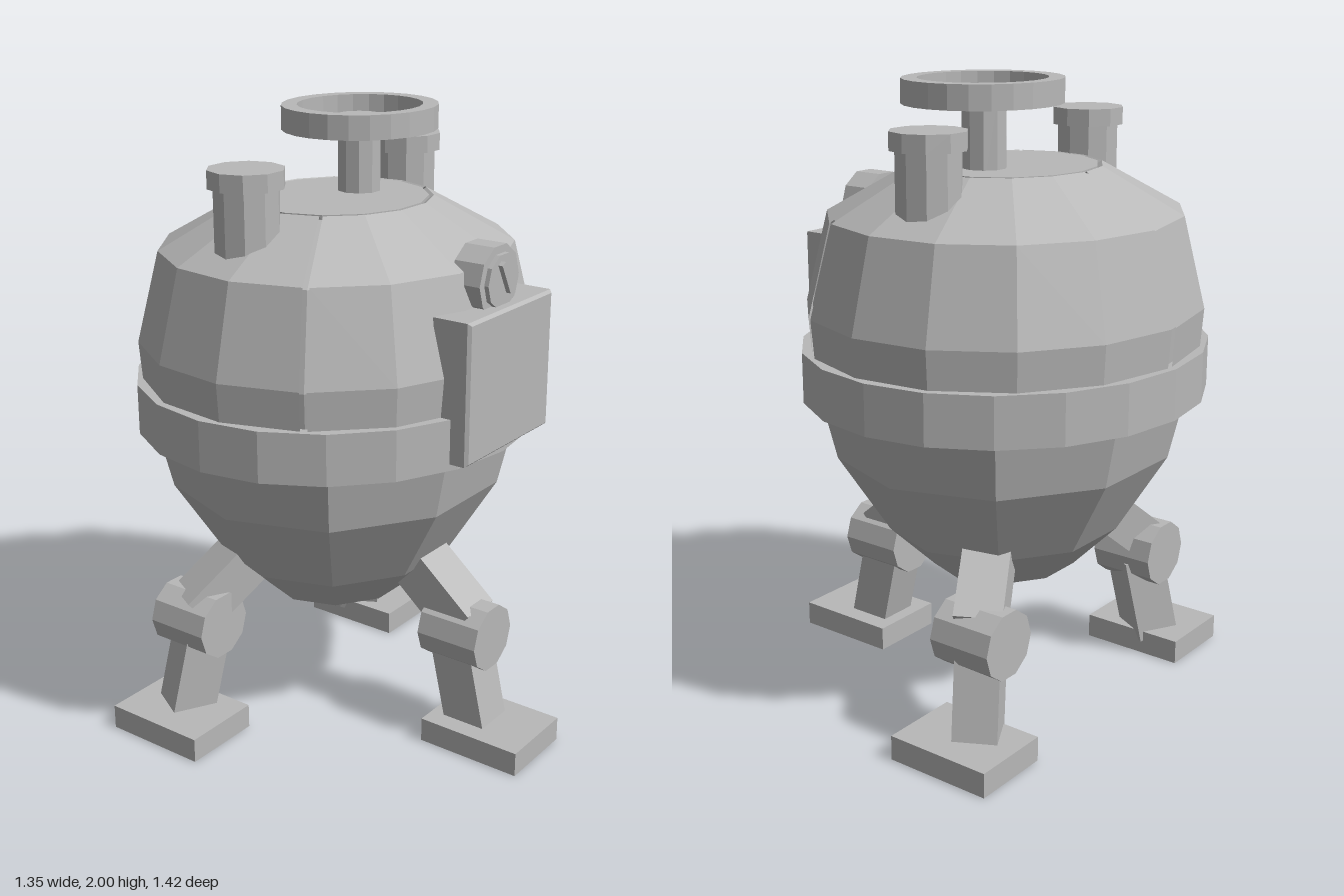
import * as THREE from 'three';

export function createModel() {
  const root = new THREE.Group();
  root.name = 'tankOnLegs';
  const grey = new THREE.MeshStandardMaterial({ color: 0xb8b8b8, flatShading: true, side: THREE.DoubleSide });
  grey.name = 'plain grey';

  const add = (name, geo, x = 0, y = 0, z = 0, parent = root) => {
    const m = new THREE.Mesh(geo, grey);
    m.name = name;
    m.position.set(x, y, z);
    parent.add(m);
    return m;
  };
  const box = (w, h, d) => new THREE.BoxGeometry(w, h, d);
  const cyl = (r, h, n) => new THREE.CylinderGeometry(r, r, h, n).rotateY(Math.PI / n);
  const lathe = (pts, n, start = 0, len = Math.PI * 2) =>
    new THREE.LatheGeometry(pts.map(p => new THREE.Vector2(...p)), n, start, len);

  // Slightly oval tank body
  const body = new THREE.Group();
  body.name = 'body';
  body.position.z = -0.08;
  body.scale.z = 0.93;
  root.add(body);
  add('lowerShell', lathe([[0, 0.43], [0.25, 0.43], [0.4, 0.57], [0.57, 0.83], [0.62, 1.03], [0.62, 1.1]], 10, Math.PI / 10), 0, 0, 0, body);
  add('beltRing', new THREE.CylinderGeometry(0.675, 0.675, 0.16, 20), 0, 1.1, 0, body);

  // Dome: inner liner and three outer panels with narrow gaps between them
  const dome = [[0.65, 1.17], [0.66, 1.3], [0.585, 1.585], [0.315, 1.73]];
  const liner = dome.map(([r, y]) => [r - 0.02, y - 0.012]);
  add('domeLiner', lathe([...liner, [0, 1.718]], 15, Math.PI), 0, 0, 0, body);
  const gap = 0.034;
  for (let i = 0; i < 3; i++) {
    const start = Math.PI + i * Math.PI * 2 / 3 + gap / 2;
    const profile = [...dome, [0.295, 1.718]];
    add('domePanel', lathe(profile, 5, start, Math.PI * 2 / 3 - gap), 0, 0, 0, body);
  }
  add('domeCap', lathe([[0.3, 1.71], [0.3, 1.73], [0, 1.73]], 15, Math.PI), 0, 0, 0, body);

  // Valve stem and hand wheel on top
  add('valveStem', cyl(0.07, 0.26, 10), 0.113, 1.81, -0.08);
  add('valveStemCap', cyl(0.077, 0.04, 10), 0.113, 1.945, -0.08);
  const wheel = add('handWheel', lathe([[0.206, 1.925], [0.257, 1.925], [0.257, 2], [0.206, 2], [0.206, 1.925]], 24), 0.114, 0, -0.077);
  wheel.scale.z = 0.935;

  // Capped pipes on both shoulders
  for (const s of [-1, 1]) {
    add('pipe', cyl(0.1, 0.36, 10), s * 0.405, 1.65, -0.105);
    add('pipeCap', cyl(0.117, 0.055, 10), s * 0.405, 1.845, -0.105);
  }

  // Front panel box with a chamfered edge
  const plate = new THREE.Shape([[-0.225, -0.21], [0.225, -0.21], [0.225, 0.21], [-0.225, 0.21]].map(p => new THREE.Vector2(...p)));
  add('controlBox', new THREE.ExtrudeGeometry(plate, {
    depth: 0.115, bevelEnabled: true, bevelThickness: 0.01, bevelSize: 0.009, bevelSegments: 1,
  }), 0, 1.26, 0.44);

  // Gauge above the box
  const disc = (r, h) => cyl(r, h, 10).rotateX(Math.PI / 2);
  add('gaugeHousing', disc(0.11, 0.1), 0, 1.55, 0.465);
  add('gaugeFace', disc(0.085, 0.015), 0, 1.55, 0.522);
  add('gaugeNeedle', box(0.02, 0.105, 0.015), 0, 1.562, 0.537).rotation.z = 0.5;

  // Three legs spread around the body; knees and feet stay square to the front
  const bar = (name, a, b, w, t, parent) => {
    const m = add(name, box(w, t, a.distanceTo(b)), 0, 0, 0, parent);
    m.position.copy(a).add(b).multiplyScalar(0.5);
    m.lookAt(b);
  };
  for (const [dx, dz] of [[0, 1], [0.88, -0.48], [-0.88, -0.48]]) {
    const leg = new THREE.Group();
    leg.name = 'leg';
    root.add(leg);
    const at = (r, y) => new THREE.Vector3(dx * r, y, dz * r - 0.08);
    const knee = at(0.505, 0.375);
    bar('upperLeg', at(0.335, 0.566), at(0.52, 0.41), 0.15, 0.14, leg);
    bar('lowerLeg', at(0.49, 0.36), at(0.558, 0.06), 0.14, 0.145, leg);
    add('knee', disc(0.11, 0.215), knee.x, knee.y, knee.z, leg);
    const foot = at(0.61, 0.04);
    add('foot', box(0.267, 0.08, 0.355), foot.x, foot.y, dz > 0 ? 0.532 : -0.332, leg);
  }
  return root;
}
